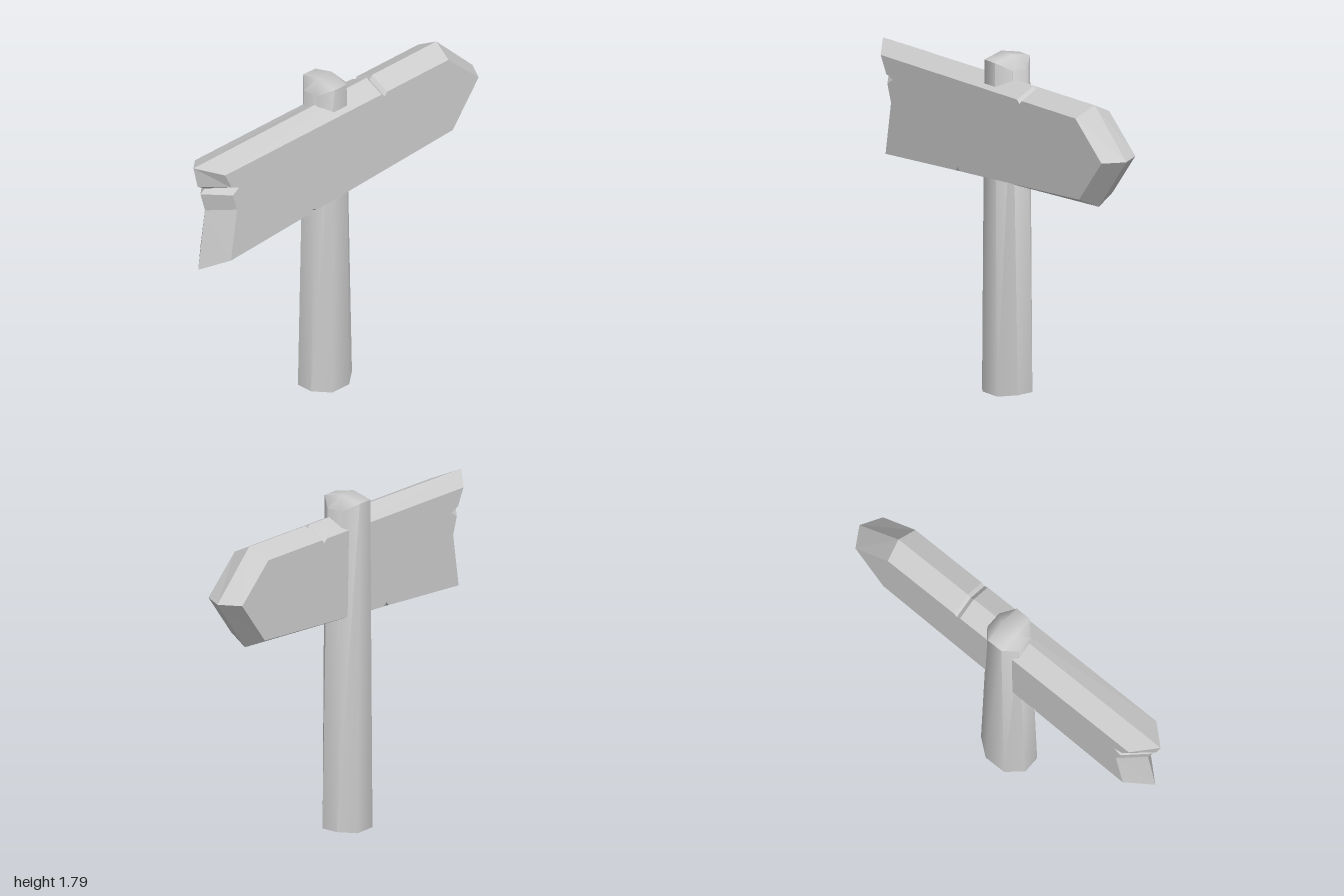
import * as THREE from 'three';
import { toCreasedNormals } from 'three/addons/utils/BufferGeometryUtils.js';

const material = new THREE.MeshStandardMaterial({ color: 0xcccccc, side: THREE.DoubleSide });

// Tapered eight-sided post, open below, with a hewn ridge on top
function createPost() {
  const geo = new THREE.CylinderGeometry(1, 1, 1, 8, 2, true, Math.PI / 8);
  const pos = geo.attributes.position;
  const k = 1 / Math.cos(Math.PI / 8); // makes the flats, not the corners, reach the radius
  for (let i = 0; i < pos.count; i++) {
    const row = Math.floor(i / 9); // 0 ridge, 1 top rim, 2 foot
    const x = pos.getX(i) * k, z = pos.getZ(i) * k;
    const side = Math.abs(x) > Math.abs(z);
    if (row === 0) pos.setXYZ(i, Math.sign(x) * 0.05, 1.795, 0);
    else if (row === 1) pos.setXYZ(i, x * 0.105, side ? 1.73 : 1.77, z * 0.114);
    else pos.setXYZ(i, x * 0.147, side ? 0.015 : 0, z * 0.114);
  }
  const post = new THREE.Mesh(toCreasedNormals(geo, 0.9), material);
  post.name = 'post';
  post.position.set(-0.023, 0, -0.015);
  return post;
}

// Outline, counter-clockwise: [ridge x, ridge y, face x, face y]
const outline = [
  [-1.0, 1.655, -0.88, 1.61],
  // split left end
  [-0.97, 1.535, -0.835, 1.52],
  [-0.92, 1.505, -0.78, 1.5],
  [-0.95, 1.483, -0.825, 1.47],
  [-0.917, 1.375, -0.795, 1.375],
  [-0.965, 1.045, -0.84, 1.093],
  // nick in the lower edge
  [-0.265, 1.1, -0.265, 1.14],
  [-0.25, 1.12, -0.25, 1.16],
  [-0.225, 1.103, -0.225, 1.143],
  // pointed end
  [0.775, 1.168, 0.75, 1.22],
  [1.0, 1.457, 0.935, 1.455],
  [0.74, 1.7, 0.72, 1.645],
  // nick in the upper edge
  [0.28, 1.689, 0.28, 1.635],
  [0.262, 1.667, 0.262, 1.615],
  [0.24, 1.688, 0.24, 1.634],
];

// Arrow board: two flat faces with bevels meeting in a ridge around the middle
function createBoard() {
  const ridge = outline.map(([x, y]) => [x, y, 0.02]);
  const front = outline.map(([, , x, y]) => [x, y, 0.13]);
  const back = outline.map(([, , x, y]) => [x, y, -0.09]);
  const verts = [];
  const tri = (a, b, c) => verts.push(...a, ...b, ...c);
  const quad = (a, b, c, d) => { tri(a, b, c); tri(a, c, d); };

  outline.forEach((_, i) => {
    const j = (i + 1) % outline.length;
    quad(ridge[i], ridge[j], front[j], front[i]);
    quad(back[i], back[j], ridge[j], ridge[i]);
  });
  const contour = front.map(([x, y]) => new THREE.Vector2(x, y));
  for (const [a, b, c] of THREE.ShapeUtils.triangulateShape(contour, [])) {
    tri(front[a], front[b], front[c]);
    tri(back[a], back[c], back[b]);
  }

  const geo = new THREE.BufferGeometry();
  geo.setAttribute('position', new THREE.Float32BufferAttribute(verts, 3));
  geo.computeVertexNormals();
  const board = new THREE.Mesh(geo, new THREE.MeshStandardMaterial({ color: 0xcccccc, flatShading: true }));
  board.name = 'arrowBoard';
  return board;
}

export function createModel() {
  const group = new THREE.Group();
  group.name = 'signpost';
  group.add(createPost(), createBoard());
  return group;
}
